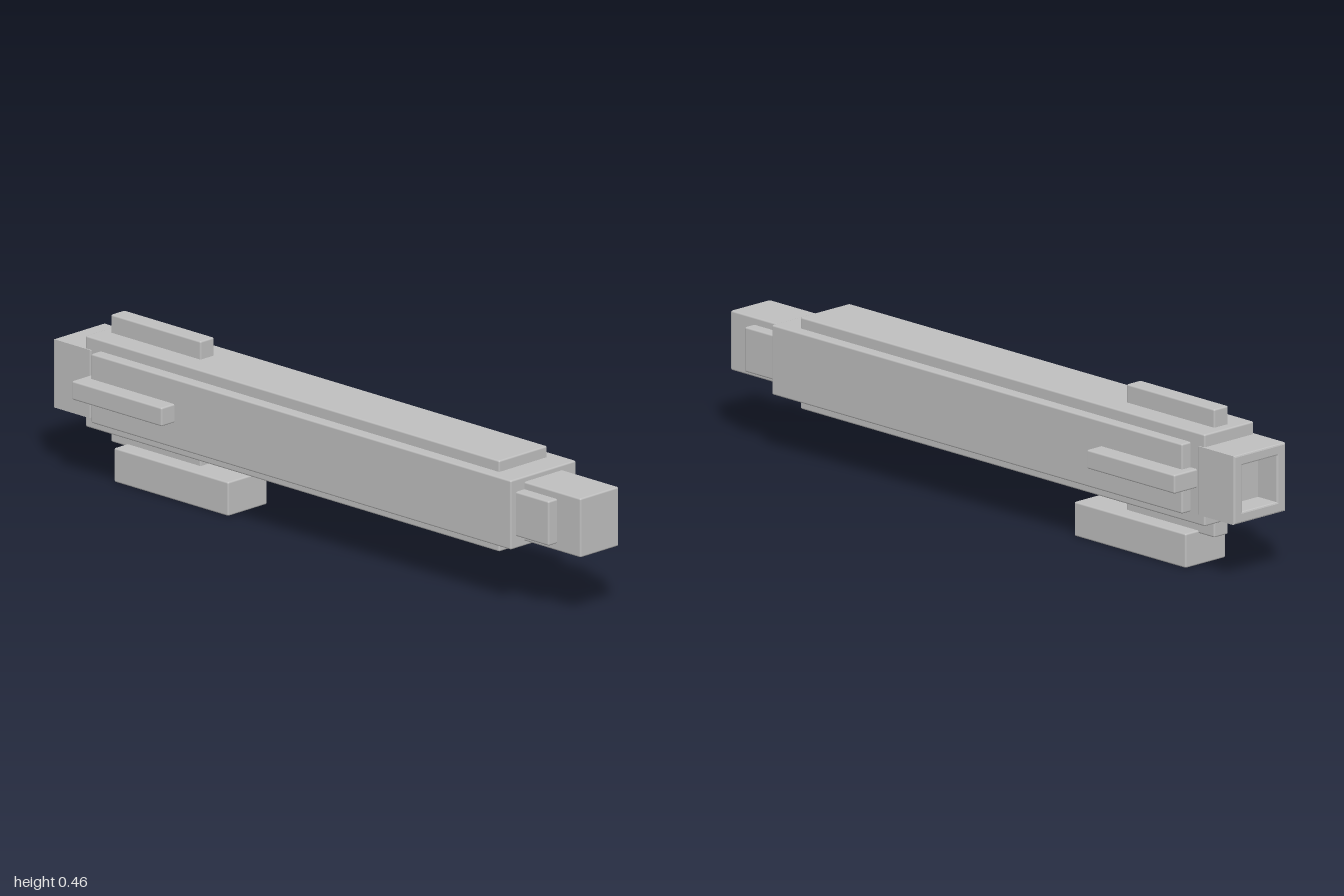
import * as THREE from 'three';
import { RoundedBoxGeometry } from 'three/addons/geometries/RoundedBoxGeometry.js';

const EDGE = 0.005;

export function createModel() {
  const group = new THREE.Group();
  const gray = new THREE.MeshStandardMaterial({ color: 0xbfbfbf });
  gray.name = 'lightGray';

  // Softly bevelled block given by its limits on each axis
  function block(name, [x0, x1], [y0, y1], [z0, z1]) {
    const geometry = new RoundedBoxGeometry(x1 - x0, y1 - y0, z1 - z0, 2, EDGE);
    const mesh = new THREE.Mesh(geometry, gray);
    mesh.name = name;
    mesh.position.set((x0 + x1) / 2, (y0 + y1) / 2, (z0 + z1) / 2);
    group.add(mesh);
  }

  // Long body: a wide box crossed by a taller, narrower one
  block('body', [-0.13, 0.125], [0.173, 0.372], [-0.825, 0.785]);
  block('spine', [-0.096, 0.092], [0.142, 0.404], [-0.88, 0.707]);

  // Front end
  block('frontCollar', [-0.11, 0.107], [0.208, 0.336], [0.77, 0.91]);
  block('nose', [-0.077, 0.073], [0.187, 0.357], [0.77, 1]);

  // Four fins near the rear, as two crossing plates
  const finZ = [-0.85, -0.505];
  block('verticalFins', [-0.028, 0.026], [0.09, 0.456], finZ);
  block('sideFins', [-0.18, 0.178], [0.246, 0.3], finZ);

  // Block carried below the lower fin
  block('lowerBlock', [-0.078, 0.075], [0, 0.098], [-0.788, -0.35]);

  // Hollow square tail with a recessed floor
  const half = 0.098, hole = 0.066, depth = 0.145;
  const square = (Type, s) => new Type([[-s, -s], [s, -s], [s, s], [-s, s]]
    .map(([x, y]) => new THREE.Vector2(x, y)));
  const outline = square(THREE.Shape, half);
  outline.holes.push(square(THREE.Path, hole));
  const tailGeometry = new THREE.ExtrudeGeometry(outline, {
    depth: depth - 2 * EDGE, bevelSize: EDGE, bevelThickness: EDGE, bevelOffset: -EDGE, bevelSegments: 2,
  });
  const tail = new THREE.Mesh(tailGeometry, gray);
  tail.name = 'tail';
  tail.position.set(-0.002, 0.27, -1 + EDGE);
  group.add(tail);
  block('tailFloor', [-0.075, 0.071], [0.197, 0.343], [-0.925, -0.86]);

  return group;
}
